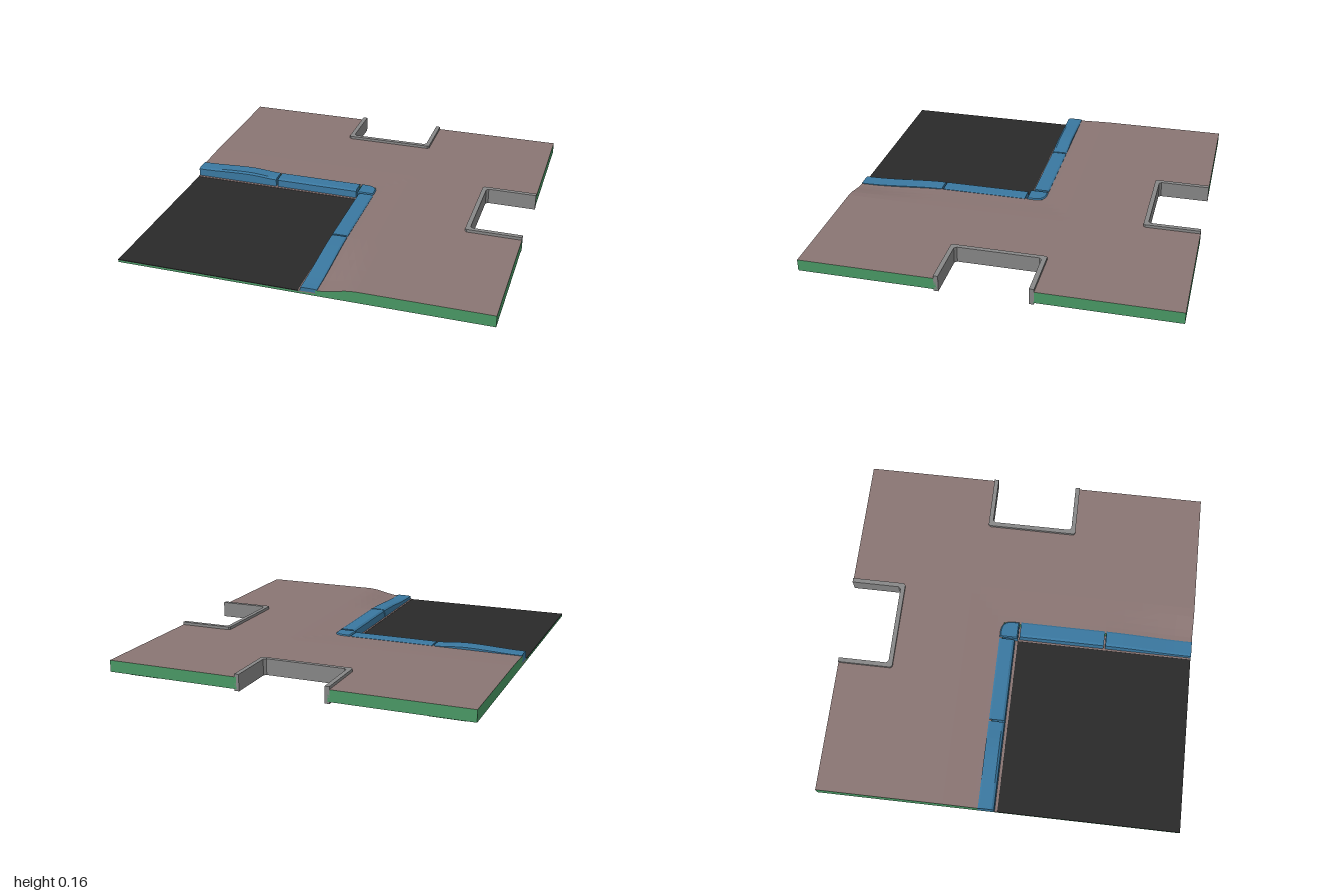
import * as THREE from 'three';

const mat = (color, side = THREE.FrontSide) =>
  new THREE.MeshStandardMaterial({ color, side, flatShading: true });

export function createModel() {
  const group = new THREE.Group();
  const green = mat(0x4a9a66), brown = mat(0x8a7573), blue = mat(0x3a78a0);
  const black = mat(0x2a2a2a), grey = mat(0x888888);
  const add = (name, geometry, material, x = 0, y = 0, z = 0) => {
    const mesh = new THREE.Mesh(geometry, material);
    mesh.name = name;
    mesh.position.set(x, y, z);
    group.add(mesh);
    return mesh;
  };
  // plan outline in (x, -z), extruded upwards
  const slab = (points, depth) => {
    const shape = new THREE.Shape(points.map(p => new THREE.Vector2(...p)));
    return new THREE.ExtrudeGeometry(shape, { depth, bevelEnabled: false }).rotateX(-Math.PI / 2);
  };

  // thin base plate with two notches
  add('basePlate', slab([[-1, -1], [1, -1], [1, -0.25], [0.7, -0.25], [0.7, 0.25], [1, 0.25],
    [1, 1], [0.25, 1], [0.25, 0.7], [-0.25, 0.7], [-0.25, 1], [-1, 1]], 0.012), green, 0, 0.08, 0);

  // road surface and the bed below the kerbs
  add('road', new THREE.BoxGeometry(1, 0.005, 1), black, -0.5, 0.0935, 0.5);
  add('kerbBedBack', new THREE.BoxGeometry(1.1, 0.008, 0.11), brown, -0.45, 0.094, -0.055);
  add('kerbBedSide', new THREE.BoxGeometry(0.1, 0.008, 1), brown, 0.05, 0.094, 0.5);

  // pavement: a height field, sinking towards the lowered kerb
  const smooth = THREE.MathUtils.smoothstep;
  const height = (x, z) => {
    const d = Math.max(x - 0.1, -0.1 - z, 0);
    const near = 1 - smooth(d, 0, 0.2);
    const drop = x > 0 ? smooth(z, 0.45, 0.95) : 0;
    return 0.144 - near * (0.005 + 0.027 * drop);
  };
  const xs = [-1, -0.75, -0.5, -0.25, 0, 0.09, 0.13, 0.17, 0.21, 0.25, 0.3, 0.5, 0.7, 1];
  const zs = [-1, -0.7, -0.5, -0.3, -0.25, -0.21, -0.17, -0.13, -0.09, 0, 0.25, 0.5, 0.6, 0.7, 0.8, 0.9, 1];
  const solid = (i, j) => {
    if (i < 0 || j < 0 || i >= xs.length - 1 || j >= zs.length - 1) return false;
    const x = (xs[i] + xs[i + 1]) / 2, z = (zs[j] + zs[j + 1]) / 2;
    if (x < 0.09 && z > -0.09) return false;
    return !(Math.abs(x) < 0.25 && z < -0.7) && !(Math.abs(z) < 0.25 && x > 0.7);
  };
  const top = [], walls = [];
  const quad = (out, a, b, c, d) => out.push(...a, ...b, ...c, ...a, ...c, ...d);
  const wall = (p, q) => quad(walls, [p[0], 0.09, p[2]], [q[0], 0.09, q[2]], q, p);
  for (let i = 0; i < xs.length - 1; i++) {
    for (let j = 0; j < zs.length - 1; j++) {
      if (!solid(i, j)) continue;
      const at = (a, b) => [xs[a], height(xs[a], zs[b]), zs[b]];
      const nw = at(i, j), ne = at(i + 1, j), sw = at(i, j + 1), se = at(i + 1, j + 1);
      quad(top, nw, sw, se, ne);
      if (!solid(i, j + 1)) wall(sw, se);
      if (!solid(i, j - 1)) wall(ne, nw);
      if (!solid(i + 1, j)) wall(se, ne);
      if (!solid(i - 1, j)) wall(nw, sw);
    }
  }
  const fromTriangles = list => {
    const g = new THREE.BufferGeometry();
    g.setAttribute('position', new THREE.Float32BufferAttribute(list, 3));
    g.computeVertexNormals();
    return g;
  };
  add('pavement', fromTriangles(top), brown);
  add('slabSides', fromTriangles(walls), green);

  // kerb stones: chamfered profile whose top follows a rule along the length
  const kerb = (length, topAt) => {
    const p = [[0, 0], [0.092, 0], [0.092, 0.92], [0.084, 1], [0.016, 1], [0.004, 0.85]];
    const shape = new THREE.Shape(p.map(q => new THREE.Vector2(...q)));
    const g = new THREE.ExtrudeGeometry(shape, { depth: length, steps: 10, bevelEnabled: false });
    const pos = g.attributes.position;
    for (let i = 0; i < pos.count; i++)
      pos.setY(i, pos.getY(i) * (topAt(pos.getZ(i) / length) - 0.094));
    g.computeVertexNormals();
    return g;
  };
  const level = () => 0.145;
  add('kerbSide', kerb(0.485, level), blue, 0.009, 0.094, 0.01);
  add('kerbSideLowered', kerb(0.495, t => 0.145 - 0.027 * smooth(t, 0, 0.95)), blue, 0.009, 0.094, 0.505);
  add('kerbBack', kerb(0.485, level).rotateY(Math.PI / 2), blue, -0.495, 0.094, -0.014);
  const hump = t => (t < 0.65 ? 0.146 + 0.011 * smooth(t, 0, 0.65) : 0.157 - 0.012 * smooth(t, 0.65, 1));
  add('kerbBackRaised', kerb(0.495, hump).rotateY(Math.PI / 2), blue, -1, 0.094, -0.014);

  // rounded corner kerb
  const corner = new THREE.Shape();
  corner.moveTo(0.006, 0.006);
  corner.lineTo(0.094, 0.006);
  corner.lineTo(0.094, 0.04);
  corner.quadraticCurveTo(0.094, 0.1, 0.034, 0.1);
  corner.lineTo(0.006, 0.1);
  const cornerGeometry = new THREE.ExtrudeGeometry(corner, {
    depth: 0.045, bevelThickness: 0.006, bevelSize: 0.006, bevelSegments: 1, curveSegments: 5,
  });
  add('kerbCorner', cornerGeometry.rotateX(-Math.PI / 2), blue, 0, 0.094, 0);

  // grey U-shaped rims around the notches
  const rim = () => slab([[-0.26, 1], [-0.26, 0.7], [-0.25, 0.69], [0.25, 0.69], [0.26, 0.7], [0.26, 1],
    [0.235, 1], [0.235, 0.728], [0.222, 0.715], [-0.222, 0.715], [-0.235, 0.728], [-0.235, 1]], 0.09);
  add('notchRimBack', rim(), grey, 0, 0.07, 0);
  add('notchRimSide', rim().rotateY(-Math.PI / 2), grey, 0, 0.07, 0.005);

  // pegs and corner brackets underneath
  for (const sx of [-1, 1]) {
    for (const sz of [-1, 1]) {
      add('peg', new THREE.CylinderGeometry(0.033, 0.033, 0.081, 6),
        green, sx * 0.376, 0.0405, sz * 0.386);
      add('bracketArmX', new THREE.BoxGeometry(0.18, 0.032, 0.045), green, sx * 0.835, 0.065, sz * 0.9025);
      add('bracketArmZ', new THREE.BoxGeometry(0.045, 0.032, 0.135), green, sx * 0.9025, 0.065, sz * 0.8125);
    }
  }
  return group;
}
